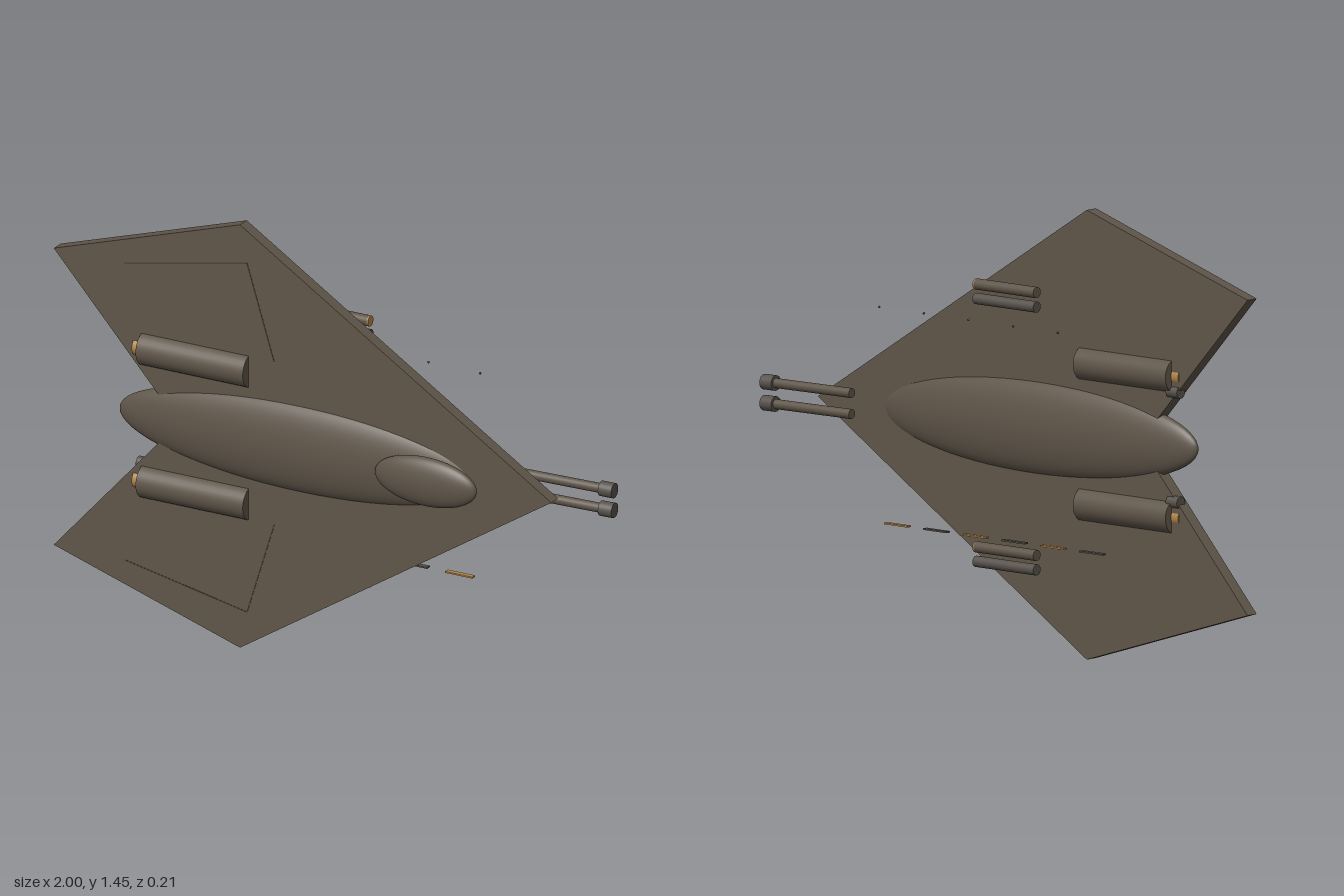
import * as THREE from 'three';

export function createModel() {
  const model = new THREE.Group();
  model.name = 'deltaWingCraft';
  const material = (name, color) => {
    const m = new THREE.MeshStandardMaterial({ color });
    m.name = name;
    return m;
  };
  const hull = material('hull brown', 0x5f5549);
  const steel = material('steel grey', 0x58524c);
  const copper = material('copper', 0xb08548);
  const dark = material('panel line', 0x4a4138);

  const midY = 0.73;
  const add = (name, geometry, mat, x, y, z) => {
    const mesh = new THREE.Mesh(geometry, mat);
    mesh.name = name;
    mesh.position.set(x, y, z);
    model.add(mesh);
    return mesh;
  };
  // Cylinder lying along x from x0 to x1
  const rod = (name, mat, x0, x1, y, z, r, segments = 24) =>
    add(name, new THREE.CylinderGeometry(r, r, x1 - x0, segments).rotateZ(-Math.PI / 2), mat, (x0 + x1) / 2, y, z);
  const ellipsoid = (name, x, z, rx, ry, rz) =>
    add(name, new THREE.SphereGeometry(1, 48, 32).rotateZ(Math.PI / 2).scale(rx, ry, rz), hull, x, midY, z);

  // Flat arrow-shaped wing
  const outline = new THREE.Shape([
    [0.83, 0], [-0.315, 0.727], [-1, 0.51], [-0.54, 0], [-1, -0.51], [-0.315, -0.727],
  ].map(([x, y]) => new THREE.Vector2(x, y)));
  add('wing', new THREE.ExtrudeGeometry(outline, { depth: 0.044, bevelEnabled: false }), hull, 0, midY, -0.015);

  // Body and canopy
  ellipsoid('fuselage', -0.095, 0.006, 0.675, 0.157, 0.064);
  ellipsoid('canopy', 0.392, 0.07, 0.186, 0.083, 0.038);

  for (const side of [1, -1]) {
    const at = (dy) => midY + side * dy;

    // Engines with main and small inboard nozzles
    rod('engine', hull, -0.677, -0.283, at(0.228), 0.011, 0.057, 32);
    rod('engineNozzle', copper, -0.707, -0.677, at(0.228), 0.011, 0.03);
    rod('smallNozzle', steel, -0.707, -0.66, at(0.178), -0.005, 0.02);

    // Nose guns, angled slightly backwards
    const gun = new THREE.Group();
    gun.name = 'noseGun';
    gun.position.set(0.64, midY + 0.003 + side * 0.034, -0.066);
    gun.rotation.y = 0.042;
    const barrel = rod('gunBarrel', hull, 0, 0.32, 0, 0, 0.016);
    const muzzle = rod('gunMuzzle', steel, 0.312, 0.36, 0, 0, 0.025);
    gun.add(barrel, muzzle);
    model.add(gun);

    // Twin launch tubes behind the wing, the upper one tipped in copper
    const tubeY = at(0.425);
    rod('upperTube', hull, -0.148, 0.106, tubeY + 0.023, -0.066, 0.018);
    rod('tubeTip', copper, 0.106, 0.111, tubeY + 0.023, -0.066, 0.018);
    rod('lowerTube', steel, -0.148, 0.111, tubeY - 0.024, -0.066, 0.018);

    // Thin panel lines on the front face of the wing
    const line = [[-0.74, 0.51], [-0.29, 0.6], [-0.19, 0.28]];
    for (let i = 0; i < 2; i++) {
      const [x0, y0] = line[i], [x1, y1] = line[i + 1];
      const strip = add('panelLine', new THREE.BoxGeometry(Math.hypot(x1 - x0, y1 - y0), 0.004, 0.002),
        dark, (x0 + x1) / 2, at((y0 + y1) / 2), 0.029);
      strip.rotation.z = side * Math.atan2(y1 - y0, x1 - x0);
    }
  }

  // Row of alternating marker strips behind the lower wing
  for (let i = 0; i < 6; i++) {
    add('markerStrip', new THREE.BoxGeometry(0.1, 0.005, 0.018), i % 2 ? copper : steel, -0.4 + i * 0.166, 0.366, -0.083);
  }
  // Row of tiny studs behind the upper wing
  for (let i = 0; i < 5; i++) {
    add('stud', new THREE.SphereGeometry(0.004, 8, 6), dark, 0.496 - i * 0.19, 1.065, -0.097);
  }
  return model;
}
